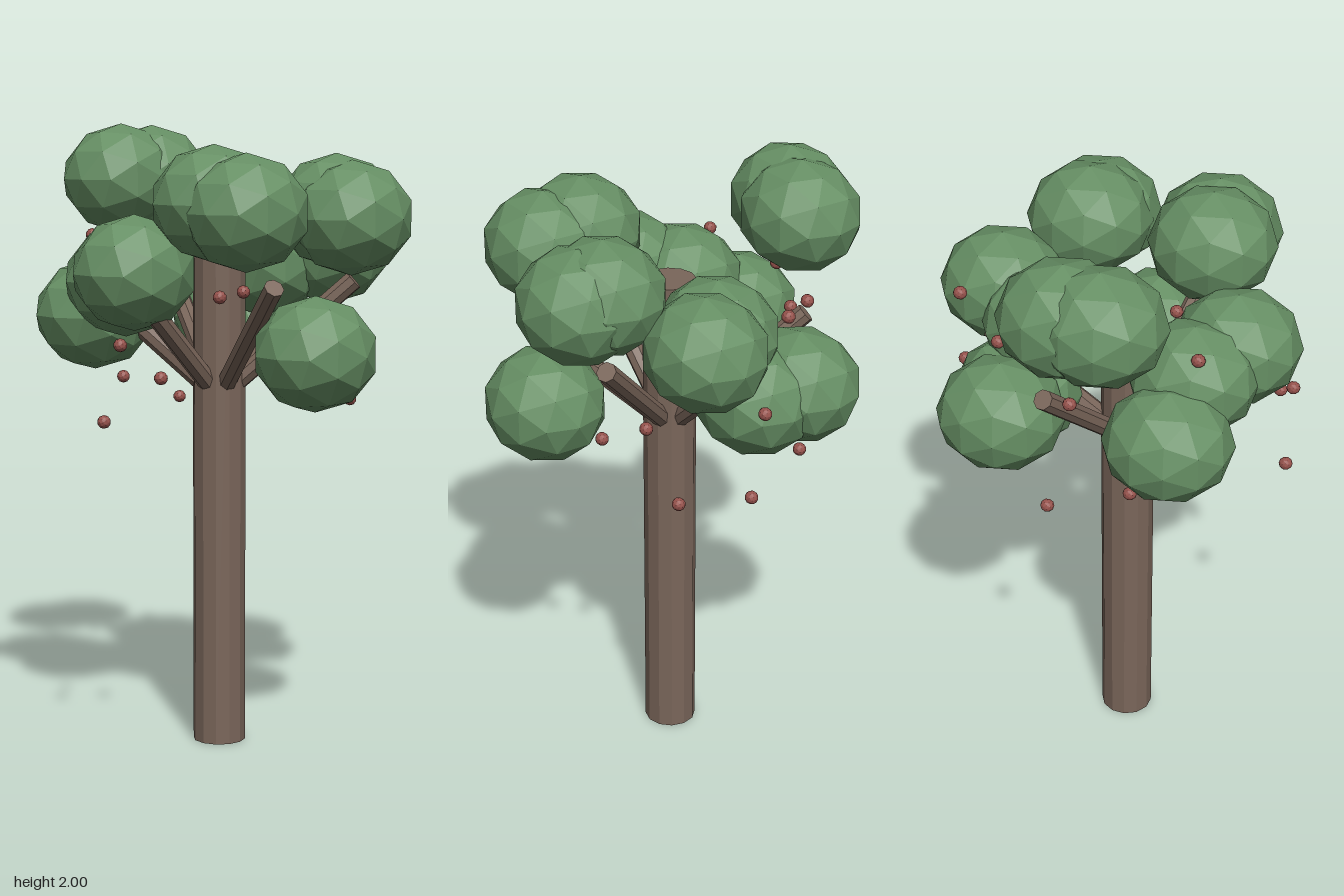
import * as THREE from 'three';

export function createModel() {
  const tree = new THREE.Group();
  tree.name = 'tree';

  const flat = (name, color) => {
    const m = new THREE.MeshStandardMaterial({ color, flatShading: true });
    m.name = name;
    return m;
  };
  const bark = flat('bark brown', 0x7a665a);
  const leaf = flat('leaf green', 0x668f64);
  const red = flat('fruit red', 0x96524c);

  const add = (name, geometry, material, [x, y, z]) => {
    const mesh = new THREE.Mesh(geometry, material);
    mesh.name = name;
    mesh.position.set(x, y, z);
    tree.add(mesh);
    return mesh;
  };

  // Trunk
  const tx = -0.035, tz = 0.003;
  add('trunk', new THREE.CylinderGeometry(0.085, 0.085, 1.64, 12), bark, [tx, 0.82, tz]);

  // Six branches fanning out and up from the trunk
  const up = new THREE.Vector3(0, 1, 0);
  const reach = 0.43, rise = 0.38;
  const branchGeo = new THREE.CylinderGeometry(0.032, 0.032, Math.hypot(reach, rise), 8);
  for (let i = 0; i < 6; i++) {
    const a = (i * Math.PI) / 3;
    const dir = new THREE.Vector3(Math.cos(a) * reach, rise, Math.sin(a) * reach);
    const branch = add('branch', branchGeo, bark,
      [tx + dir.x / 2, 1.13 + rise / 2, tz + dir.z / 2]);
    branch.quaternion.setFromUnitVectors(up, dir.normalize());
  }

  // Leaf clumps: slightly squashed faceted balls
  const clumpGeo = new THREE.IcosahedronGeometry(1, 1).scale(0.203, 0.18, 0.19);
  [
    [0, 1.82, -0.43], [0.11, 1.815, -0.39],
    [-0.28, 1.76, 0.17], [-0.29, 1.735, 0.3],
    [0.1, 1.71, 0.42], [0.122, 1.73, 0.345],
    [-0.102, 1.3, 0.425], [-0.378, 1.545, -0.065],
    [-0.257, 1.51, -0.2], [-0.197, 1.39, -0.38],
    [0.33, 1.36, -0.235], [0.3, 1.345, -0.09],
    [0.22, 1.55, 0], [0.373, 1.59, 0.15],
  ].forEach((p) => add('leafClump', clumpGeo, leaf, p));

  // Small round fruit
  const fruitGeo = new THREE.IcosahedronGeometry(1, 1).scale(0.022, 0.021, 0.021);
  [
    [-0.555, 1.34, 0.025], [-0.513, 1.245, 0.148], [-0.545, 1.1, -0.05],
    [-0.33, 1.48, 0.23], [-0.17, 1.485, 0.2], [0.125, 1.255, 0.36],
    [0.28, 1.34, 0.3], [0.4, 1.175, -0.19], [0.48, 1.39, 0.005],
    [0.48, 1.117, 0.05], [0.365, 1.1, 0.24], [0.18, 1.085, -0.33],
    [0.47, 1.685, -0.08], [0.327, 1.635, -0.26], [-0.277, 1.65, -0.32],
    [0.034, 1.63, -0.36], [0.1, 1.5, -0.37], [-0.08, 1.175, -0.36],
  ].forEach((p) => add('fruit', fruitGeo, red, p));

  return tree;
}
